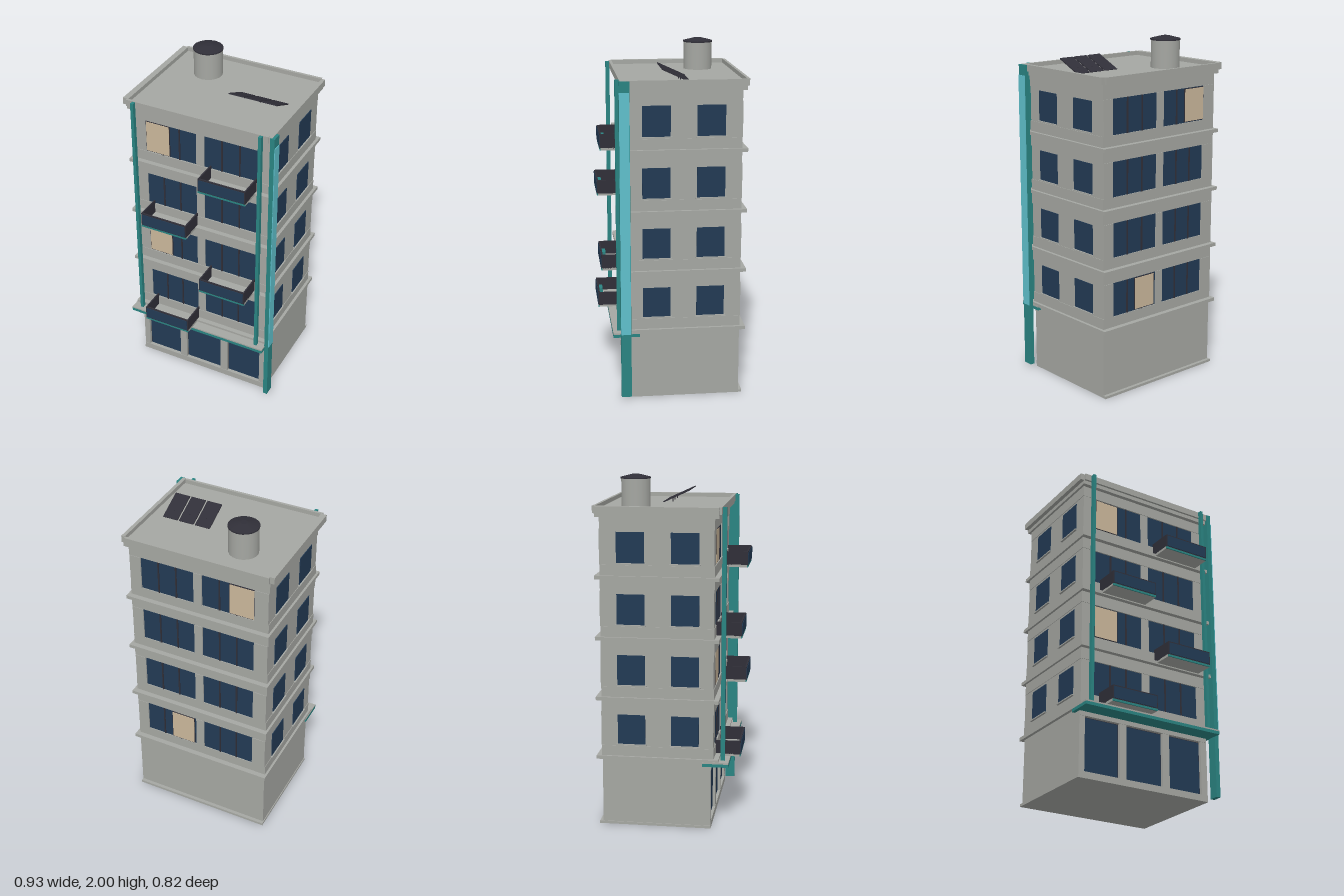
import * as THREE from 'three';

const mat = (name, color) => {
  const m = new THREE.MeshStandardMaterial({ color });
  m.name = name;
  return m;
};

export function createModel() {
  const root = new THREE.Group();
  root.name = 'apartmentBlock';
  const wall = mat('concrete', 0xa5a7a2);
  const glass = mat('navyGlass', 0x223a54);
  const dark = mat('charcoal', 0x302f38);
  const teal = mat('teal', 0x2a8482);
  const aqua = mat('aqua', 0x5fc0cc);
  const blind = mat('beigeBlind', 0xcab79b);

  // Box given by its limits on each axis
  const box = (name, m, x0, x1, y0, y1, z0, z1, parent = root) => {
    const mesh = new THREE.Mesh(new THREE.BoxGeometry(x1 - x0, y1 - y0, z1 - z0), m);
    mesh.position.set((x0 + x1) / 2, (y0 + y1) / 2, (z0 + z1) / 2);
    mesh.name = name;
    parent.add(mesh);
    return mesh;
  };

  const L = -0.43, R = 0.415, B = -0.38, F = 0.265; // outer wall limits
  const pitch = 0.347;

  // Ground floor with shopfront
  box('plinth', wall, L, R, 0, 0.015, -0.395, 0.25);
  box('groundFloor', wall, -0.425, R, 0.015, 0.395, -0.375, 0.225);
  box('shopHeader', wall, -0.425, R, 0.35, 0.38, 0.225, 0.25);
  box('shopSill', wall, -0.425, R, 0.015, 0.038, 0.225, 0.25);
  for (const [a, b] of [[-0.425, -0.39], [-0.168, -0.125], [0.113, 0.158], [0.375, R]])
    box('shopPillar', wall, a, b, 0.015, 0.38, 0.225, 0.248);
  for (const [a, b] of [[-0.39, -0.168], [-0.125, 0.113], [0.158, 0.375]]) {
    box('shopFrame', dark, a, b, 0.038, 0.35, 0.225, 0.229);
    box('shopWindow', glass, a + 0.005, b - 0.005, 0.043, 0.345, 0.229, 0.234);
  }
  // Canopy above the shops
  box('canopyTop', wall, -0.445, 0.435, 0.393, 0.402, 0.2, 0.35);
  box('canopyEdge', teal, -0.445, 0.435, 0.375, 0.393, 0.2, 0.35);

  // Three-pane window on the front (side 1) or back (side -1)
  const bays = [[-0.345, -0.03], [0.02, 0.345]];
  const inset = 0.012;
  const facadeBox = (name, m, x0, x1, y0, y1, near, far, side, parent) => {
    const zs = side > 0 ? [F - inset + near, F - inset + far] : [B + inset - far, B + inset - near];
    return box(name, m, x0, x1, y0, y1, zs[0], zs[1], parent);
  };

  const addBalcony = (x0, x1, y) => {
    const g = new THREE.Group();
    g.name = 'balcony';
    root.add(g);
    box('balconyFloor', wall, x0, x1, y, y + 0.015, 0.26, 0.402, g);
    box('balconyTrim', teal, x0, x1, y, y + 0.012, 0.402, 0.408, g);
    box('balconyFront', dark, x0, x1, y + 0.012, y + 0.092, 0.399, 0.408, g);
    box('balconyGlass', glass, x0 + 0.006, x1 - 0.006, y + 0.017, y + 0.085, 0.408, 0.411, g);
    box('balconySide', dark, x0, x0 + 0.008, y + 0.012, y + 0.092, 0.26, 0.4, g);
    box('balconySide', dark, x1 - 0.008, x1, y + 0.012, y + 0.092, 0.26, 0.4, g);
    box('planter', teal, x0 + 0.015, x0 + 0.087, y + 0.015, y + 0.05, 0.371, 0.391, g);
  };

  // Four upper floors
  for (let i = 0; i < 4; i++) {
    const y = 0.395 + i * pitch, w0 = y + 0.08, w1 = y + 0.28;
    box('floorBand', wall, -0.443, 0.432, y, y + 0.02, -0.407, 0.293);
    box('spandrel', wall, L, R, y + 0.02, w0, B + 0.003, F);
    box('lintel', wall, L, R, w1, y + pitch, B + 0.003, F);
    box('core', wall, -0.36, 0.36, w0, w1, B + inset, F - inset);
    for (const [a, b] of [[L + 0.003, -0.345], [-0.03, 0.02], [0.345, R - 0.003]])
      box('pier', wall, a, b, w0, w1, B, F - 0.003);

    for (const side of [1, -1])
      for (const [a, b] of bays) {
        facadeBox('window', glass, a, b, w0, w1, 0, 0.004, side);
        for (const t of [1 / 3, 2 / 3]) {
          const x = a + (b - a) * t;
          facadeBox('mullion', dark, x - 0.004, x + 0.004, w0, w1, 0.003, 0.009, side);
        }
      }

    // Drawn blinds
    const blinds = [];
    if (i % 2) blinds.push([-0.342, 1]);
    if (i === 3) blinds.push([-0.342, -1]);
    if (i === 0) blinds.push([0.035, -1]);
    for (const [x, side] of blinds) {
      facadeBox('blindFrame', dark, x - 0.002, x + 0.147, w0 + 0.004, w1 - 0.004, 0.004, 0.0095, side);
      facadeBox('blind', blind, x, x + 0.144, w0 + 0.007, w1 - 0.007, 0.005, 0.011, side);
    }

    // Side windows with sills
    for (const [a, b] of [[0.022, 0.18], [-0.284, -0.126]])
      for (const s of [1, -1]) {
        const x = s > 0 ? R - 0.003 : L + 0.003;
        const span = (d) => (s > 0 ? [x - 0.002, x + d] : [x - d, x + 0.002]);
        box('sideWindow', glass, ...span(0.004), w0 + 0.012, w1 - 0.016, a, b);
        box('sideSill', wall, ...span(0.012), w0 + 0.005, w0 + 0.012, a - 0.008, b + 0.008);
      }

    if (i % 2) addBalcony(0.055, 0.342, y + 0.007);
    else addBalcony(-0.312, -0.025, y + 0.007);
  }

  // Roof and parapet
  box('roofBand', wall, -0.443, 0.432, 1.78, 1.803, -0.4, 0.29);
  box('roofSlab', wall, -0.44, 0.43, 1.803, 1.818, -0.4, 0.29);
  box('parapetFront', wall, -0.44, 0.42, 1.803, 1.842, 0.287, 0.303);
  box('parapetBack', wall, -0.44, 0.42, 1.803, 1.842, -0.413, -0.397);
  box('parapetLeft', wall, 0.422, 0.443, 1.803, 1.842, -0.4, 0.302);
  box('parapetRight', wall, -0.466, -0.432, 1.803, 1.842, -0.4, 0.29);

  // Vertical fins on the front and at the corner
  for (const x of [-0.391, 0.381])
    box('frontFin', teal, x - 0.009, x + 0.009, 0.395, 1.84, 0.302, 0.326);
  box('cornerFin', teal, 0.433, 0.459, 0.02, 1.84, 0.25, 0.308);
  box('cornerFinPanel', aqua, 0.458, 0.463, 0.4, 1.78, 0.252, 0.308);

  // Water tank
  const round = (name, m, r0, r1, y0, y1, x, z, sides = 18) => {
    const mesh = new THREE.Mesh(new THREE.CylinderGeometry(r1, r0, y1 - y0, sides), m);
    mesh.position.set(x, (y0 + y1) / 2, z);
    mesh.name = name;
    root.add(mesh);
  };
  round('waterTank', wall, 0.083, 0.083, 1.815, 1.978, -0.198, -0.21);
  round('tankRim', dark, 0.087, 0.087, 1.976, 1.983, -0.198, -0.21);
  round('tankLid', dark, 0.087, 0.02, 1.983, 2.0, -0.198, -0.21);

  // Tilted solar panels on posts
  for (const x of [0.111, 0.211, 0.311]) {
    const panel = box('solarPanel', dark, x - 0.045, x + 0.045, 1.85, 1.856, -0.103, 0.068);
    panel.rotation.x = -0.43;
    round('panelPost', dark, 0.003, 0.003, 1.815, 1.845, x, -0.045, 8);
  }
  return root;
}
